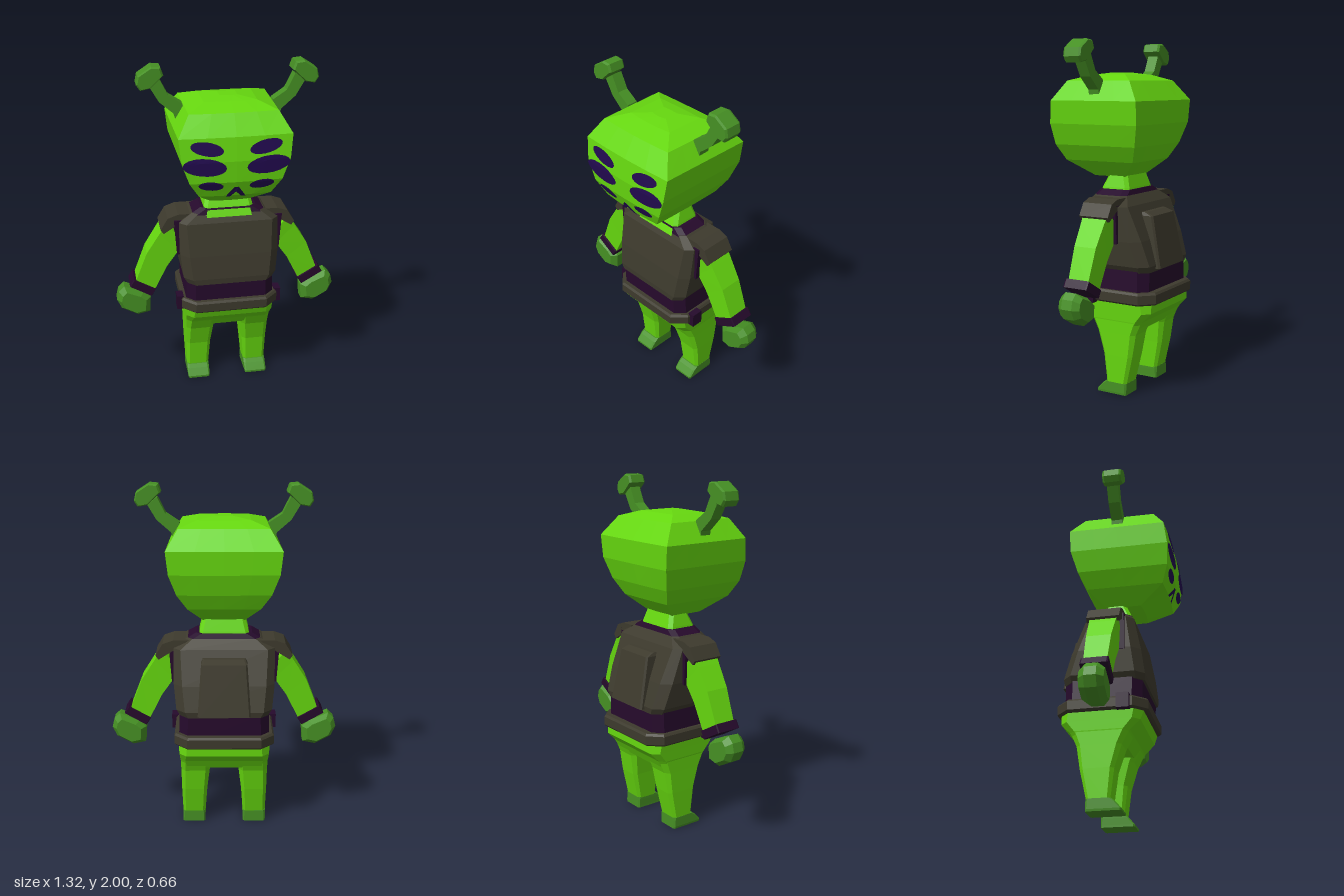
import * as THREE from 'three';

const mat = (name, color, extra = {}) =>
  new THREE.MeshStandardMaterial({ name, color, flatShading: true, ...extra });

// Skin stretched over a list of rings, closed at both ends, always facing outwards
function loft(rings) {
  const v = [];
  const n = rings[0].length;
  const mid = (r) => [0, 1, 2].map((k) => r.reduce((s, p) => s + p[k], 0) / n);
  for (let j = 0; j < rings.length - 1; j++) {
    for (let i = 0; i < n; i++) {
      const k = (i + 1) % n;
      const [a, b, c, d] = [rings[j][i], rings[j][k], rings[j + 1][k], rings[j + 1][i]];
      v.push(a, b, c, a, c, d);
    }
  }
  const first = rings[0], last = rings[rings.length - 1];
  const m0 = mid(first), m1 = mid(last);
  for (let i = 0; i < n; i++) {
    const k = (i + 1) % n;
    v.push(m0, first[k], first[i], m1, last[i], last[k]);
  }
  // A negative volume means the corners run the wrong way round
  let volume = 0;
  const A = new THREE.Vector3(), B = new THREE.Vector3(), C = new THREE.Vector3();
  for (let i = 0; i < v.length; i += 3) {
    volume += A.set(...v[i]).dot(B.set(...v[i + 1]).cross(C.set(...v[i + 2])));
  }
  if (volume < 0) v.reverse();
  const g = new THREE.BufferGeometry();
  g.setAttribute('position', new THREE.Float32BufferAttribute(v.flat(), 3));
  g.computeVertexNormals();
  return g;
}

// Level rectangle with cut corners: height, x range, z range, corner cut
function rect(y, x0, x1, z0, z1, c) {
  return [[x1, z1 - c], [x1, z0 + c], [x1 - c, z0], [x0 + c, z0],
    [x0, z0 + c], [x0, z1 - c], [x0 + c, z1], [x1 - c, z1]].map(([x, z]) => [x, y, z]);
}

// Side outline given depth along z, with both faces drawn in by a bevel
function slab(points, s, z0, z1, bevel = 0, shrink = 1) {
  const cx = points.reduce((t, p) => t + p[0], 0) / points.length;
  const cy = points.reduce((t, p) => t + p[1], 0) / points.length;
  const ring = (z, k) => points.map(([x, y]) => [s * (cx + (x - cx) * k), cy + (y - cy) * k, z]);
  return loft(bevel
    ? [ring(z0, shrink), ring(z0 + bevel, 1), ring(z1 - bevel, 1), ring(z1, shrink)]
    : [ring(z0, 1), ring(z1, 1)]);
}

// Head levels: y, half width, front z, back z
const HEAD = [
  [1.24, 0.12, 0.13, -0.07], [1.33, 0.205, 0.275, -0.17], [1.42, 0.262, 0.312, -0.215],
  [1.54, 0.304, 0.32, -0.25], [1.67, 0.318, 0.304, -0.255], [1.78, 0.25, 0.235, -0.175],
  [1.812, 0.15, 0.13, -0.09], [1.825, 0.05, 0.06, -0.02],
];
const BOW = 0.01;

function headRing([y, hx, zf, zb]) {
  const ring = [], ts = [-1, -0.5, 0, 0.5];
  const bow = (t) => BOW * (1 - t * t);
  const hf = hx * 0.965, mid = (zf + zb) / 2, half = (zf - zb) / 2;
  const side = (t) => (hx + hf) / 2 + (t * (hf - hx)) / 2;
  ts.forEach((t) => ring.push([t * hf, y, zf + bow(t)]));
  ts.forEach((t) => ring.push([side(-t), y, mid - t * half]));
  ts.forEach((t) => ring.push([-t * hx, y, zb - bow(t) / 3]));
  ts.forEach((t) => ring.push([-side(t), y, mid + t * half]));
  return ring;
}

// Depth of the face surface at a point
function faceZ(x, y) {
  let j = 0;
  while (j < HEAD.length - 2 && y > HEAD[j + 1][0]) j++;
  const a = HEAD[j], b = HEAD[j + 1];
  const f = (y - a[0]) / (b[0] - a[0]);
  const hx = (a[1] + (b[1] - a[1]) * f) * 0.965;
  return a[2] + (b[2] - a[2]) * f + BOW * (1 - (x / hx) ** 2);
}

function onFace(g, lift) {
  const p = g.attributes.position;
  for (let i = 0; i < p.count; i++) p.setZ(i, faceZ(p.getX(i), p.getY(i)) + lift);
  g.computeVertexNormals();
  return g;
}

export function createModel() {
  const root = new THREE.Group();
  const skin = mat('bright green skin', 0x66d80f);
  const limb = mat('dark green', 0x469024);
  const armour = mat('olive grey armour', 0x3d3a2d);
  const cloth = mat('dark purple cloth', 0x260a2c);
  const eyeMat = mat('violet eye', 0x220a50, { side: THREE.DoubleSide });
  const add = (name, geometry, material) => {
    const m = new THREE.Mesh(geometry, material);
    m.name = name;
    root.add(m);
    return m;
  };

  // Head and neck
  add('head', loft(HEAD.map(headRing)), skin);
  add('neck', loft([
    rect(1.12, -0.15, 0.15, -0.115, 0.1, 0.02),
    rect(1.18, -0.14, 0.14, -0.1, 0.075, 0.02),
    rect(1.28, -0.115, 0.115, -0.07, 0.03, 0.02)]), skin);

  // Mouth
  const mouth = new THREE.Shape([[-0.055, 1.325], [-0.03, 1.325], [0, 1.36], [0.03, 1.325],
    [0.055, 1.325], [0.012, 1.392], [-0.012, 1.392]].map((p) => new THREE.Vector2(...p)));
  add('mouth', onFace(new THREE.ShapeGeometry(mouth), 0.009), eyeMat);

  // Torso: shirt, vest, back panel, belt
  add('shirt', loft([
    rect(0.56, -0.26, 0.26, -0.28, 0.15, 0.05),
    rect(0.74, -0.255, 0.255, -0.28, 0.155, 0.05),
    rect(1.08, -0.26, 0.26, -0.15, 0.11, 0.04),
    rect(1.14, -0.21, 0.21, -0.12, 0.09, 0.03),
    rect(1.17, -0.16, 0.16, -0.11, 0.08, 0.03)]), cloth);
  add('vest', loft([
    rect(0.725, -0.25, 0.25, -0.285, 0.168, 0.045),
    rect(0.76, -0.272, 0.272, -0.29, 0.17, 0.05),
    rect(0.9, -0.287, 0.287, -0.245, 0.152, 0.05),
    rect(1.09, -0.288, 0.288, -0.165, 0.115, 0.04),
    rect(1.142, -0.21, 0.21, -0.12, 0.088, 0.03)]), armour);
  add('backPanel', loft([
    rect(0.74, -0.15, 0.15, -0.315, -0.2, 0.01),
    rect(1.03, -0.13, 0.13, -0.255, -0.15, 0.01),
    rect(1.05, -0.12, 0.12, -0.21, -0.12, 0.01)]), armour);
  add('belt', loft([
    rect(0.545, -0.275, 0.275, -0.315, 0.175, 0.07),
    rect(0.555, -0.285, 0.285, -0.325, 0.185, 0.075),
    rect(0.605, -0.285, 0.285, -0.325, 0.185, 0.075),
    rect(0.617, -0.275, 0.275, -0.315, 0.175, 0.07)]), armour);

  // Hips
  add('hips', loft([
    rect(0.385, -0.245, 0.245, -0.215, 0.045, 0.03),
    rect(0.44, -0.255, 0.255, -0.245, 0.085, 0.03),
    rect(0.495, -0.258, 0.258, -0.298, 0.142, 0.04),
    rect(0.56, -0.262, 0.262, -0.298, 0.165, 0.05)]), skin);

  for (const s of [1, -1]) {
    const side = s > 0 ? 'left' : 'right';
    const mir = (ring) => ring.map(([x, y, z]) => [s * x, y, z]);
    const part = (name, geometry, material) => add(side + name, geometry, material);

    // Three eyes on each side: x, y, half width, half height, tilt
    [[0.158, 1.615, 0.09, 0.037, 0.2, 'UpperEye'], [0.172, 1.515, 0.118, 0.05, 0.1, 'MiddleEye'],
      [0.138, 1.402, 0.068, 0.028, 0.1, 'LowerEye']].forEach(([x, y, w, h, tilt, name], i) => {
      const g = new THREE.RingGeometry(0.001, 1, 18, 4);
      g.scale(w, h, 1).rotateZ(s * (i === 0 ? -tilt : tilt) * (i === 0 ? -1 : 1));
      part(name, onFace(g.translate(s * x, y, 0), 0.007), eyeMat);
    });

    // Antenna: bent stem and knob
    const stem = [[0.24, 1.73, 0.29, 1.70], [0.25, 1.785, 0.295, 1.73],
      [0.325, 1.835, 0.375, 1.80], [0.37, 1.925, 0.425, 1.885]];
    part('AntennaStem', loft(stem.map(([x0, y0, x1, y1]) =>
      [[x0, y0, -0.008], [x1, y1, -0.008], [x1, y1, 0.058], [x0, y0, 0.058]].map(
        ([x, y, z]) => [s * x, y, z]))), limb);
    part('AntennaKnob', slab([[0.497, 1.905], [0.487, 1.952], [0.413, 2], [0.365, 1.995],
      [0.35, 1.952], [0.423, 1.883], [0.476, 1.873]], s, -0.022, 0.088, 0.012, 0.88), limb);

    // Arm, cuff and hand
    const arm = [[0.36, 1.07, 0.25, 0.96], [0.40, 1.01, 0.29, 0.90],
      [0.476, 0.89, 0.36, 0.80], [0.55, 0.70, 0.44, 0.64]];
    part('Arm', loft(arm.map(([x0, y0, x1, y1], i) => {
      const z0 = -0.112 + i * 0.005, z1 = 0.048 - i * 0.006;
      return [[x0, y0, z0], [x1, y1, z0], [x1, y1, z1], [x0, y0, z1]].map(
        ([x, y, z]) => [s * x, y, z]);
    })), skin);
    part('Cuff', slab([[0.556, 0.727], [0.429, 0.653], [0.455, 0.61], [0.582, 0.684]],
      s, -0.108, 0.042, 0.008, 0.95), cloth);
    part('Hand', slab([[0.614, 0.668], [0.648, 0.635], [0.661, 0.583], [0.635, 0.525],
      [0.54, 0.472], [0.466, 0.488], [0.46, 0.583], [0.503, 0.62]],
    s, -0.1, 0.035, 0.035, 0.72), limb);

    // Shoulder pad, armhole rim, belt clip
    part('ShoulderPad', slab([[0.2, 1.135], [0.29, 1.135], [0.35, 1.114], [0.392, 1.045],
      [0.375, 1.02], [0.28, 1.08]], s, -0.125, 0.06), armour);
    part('ArmholeRim', slab([[0.25, 1.1], [0.315, 1.1], [0.3, 0.885], [0.25, 0.9]],
      s, -0.125, 0.07), cloth);
    part('BeltClip', new THREE.BoxGeometry(0.04, 0.085, 0.07).translate(s * 0.292, 0.58, 0.06), cloth);

    // Leg and foot
    part('Leg', loft([
      rect(0.05, 0.113, 0.245, -0.145, -0.02, 0.015),
      rect(0.23, 0.1, 0.25, -0.185, 0.002, 0.02),
      rect(0.36, 0.085, 0.252, -0.206, 0.042, 0.025),
      rect(0.44, 0.075, 0.254, -0.24, 0.083, 0.03)].map(mir)), skin);
    part('Foot', loft([
      rect(0, 0.113, 0.245, -0.15, 0.042, 0.008),
      rect(0.012, 0.113, 0.247, -0.15, 0.042, 0.008),
      rect(0.05, 0.112, 0.247, -0.15, 0.01, 0.01),
      rect(0.068, 0.112, 0.247, -0.15, -0.012, 0.012)].map(mir)), limb);
  }

  return root;
}
